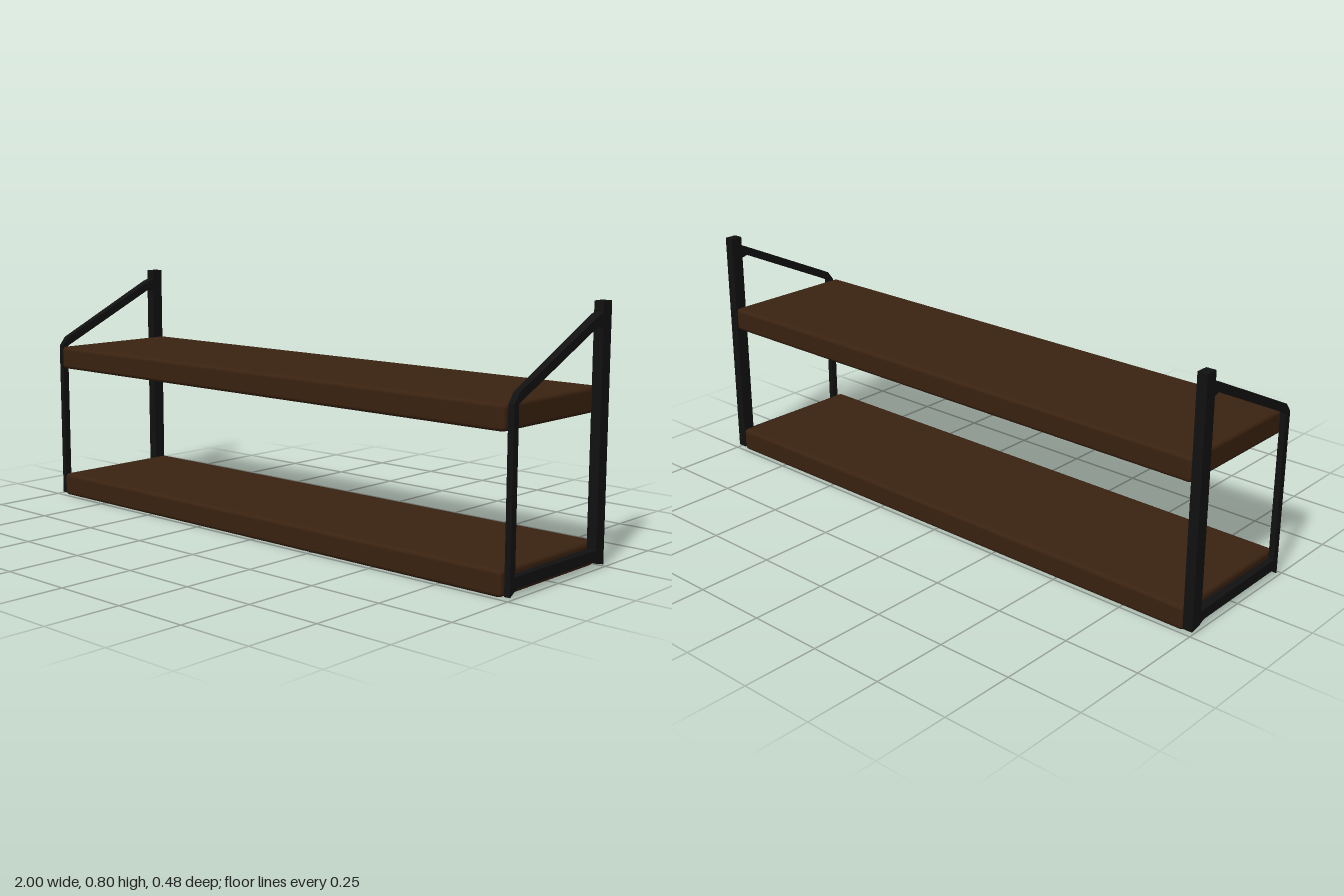
import * as THREE from 'three';
import { RoundedBoxGeometry } from 'three/addons/geometries/RoundedBoxGeometry.js';

const wood = new THREE.MeshStandardMaterial({ color: 0x3a2210 });
const metal = new THREE.MeshStandardMaterial({ color: 0x111111, flatShading: true });

// Square bar lofted through sections [outerZ, outerY, innerZ, innerY, halfWidth], capped at both ends
function barGeometry(sections) {
  const pos = [], idx = [];
  for (const [zo, yo, zi, yi, w] of sections) {
    pos.push(-w, yo, zo, w, yo, zo, w, yi, zi, -w, yi, zi);
  }
  const last = (sections.length - 1) * 4;
  for (let s = 0; s < last; s += 4) {
    for (let j = 0; j < 4; j++) {
      const k = (j + 1) % 4;
      idx.push(s + j, s + k, s + 4 + k, s + j, s + 4 + k, s + 4 + j);
    }
  }
  idx.push(0, 3, 2, 0, 2, 1, last, last + 1, last + 2, last, last + 2, last + 3);
  const g = new THREE.BufferGeometry();
  g.setAttribute('position', new THREE.Float32BufferAttribute(pos, 3));
  g.setIndex(idx);
  const flat = g.toNonIndexed();
  flat.computeVertexNormals();
  return flat;
}

export function createModel() {
  const group = new THREE.Group();
  const add = (parent, name, geometry, material) => {
    const mesh = new THREE.Mesh(geometry, material);
    mesh.name = name;
    parent.add(mesh);
    return mesh;
  };

  // Two boards with softened edges
  const board = new RoundedBoxGeometry(1.936, 0.079, 0.483, 2, 0.013);
  add(group, 'lowerShelf', board, wood).position.y = 0.04;
  add(group, 'upperShelf', board, wood).position.y = 0.505;

  // Wall post with a slanted foot
  const post = barGeometry([
    [-0.197, 0.019, -0.239, 0.009, 0.0165],
    [-0.197, 0.797, -0.239, 0.797, 0.0165],
  ]);

  // Bent strap: under the shelf end, up the front, then sloping back to the post
  const strap = barGeometry([
    [-0.225, 0.012, -0.225, 0.06, 0.016],
    [-0.175, 0.027, -0.175, 0.06, 0.0155],
    [0.2, 0.025, 0.2, 0.06, 0.0105],
    [0.23, 0.005, 0.208, 0.06, 0.01],
    [0.23, 0.545, 0.208, 0.543, 0.01],
    [0.207, 0.575, 0.204, 0.546, 0.01],
    [-0.175, 0.757, -0.175, 0.727, 0.0155],
    [-0.225, 0.773, -0.225, 0.715, 0.016],
  ]);

  for (const [side, name] of [[1, 'leftBracket'], [-1, 'rightBracket']]) {
    const bracket = new THREE.Group();
    bracket.name = name;
    bracket.position.x = side * 0.9835;
    add(bracket, 'wallPost', post, metal);
    add(bracket, 'strap', strap, metal);
    group.add(bracket);
  }
  return group;
}
